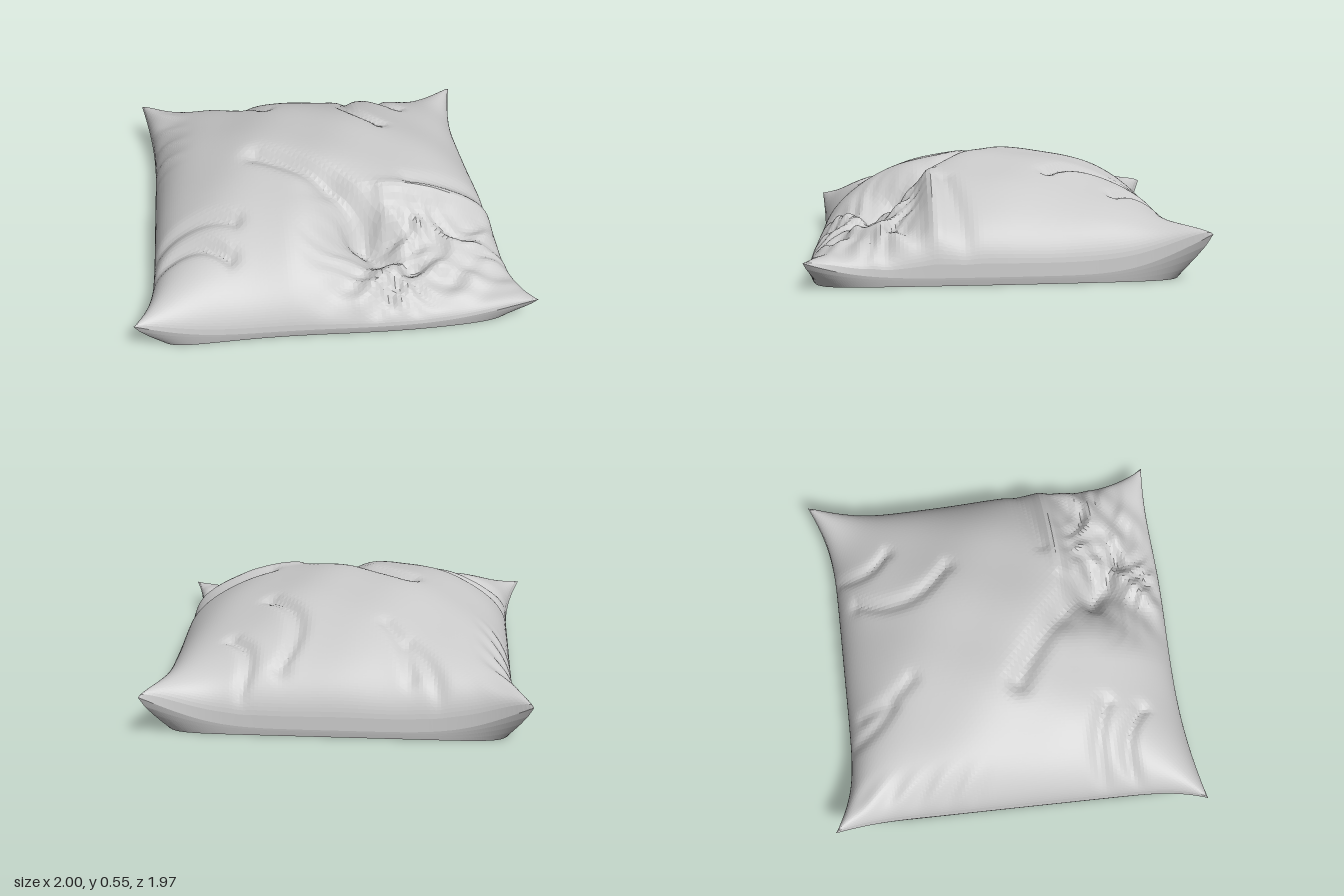
import * as THREE from 'three';

const N = 120; // grid cells per side
const smooth = THREE.MathUtils.smoothstep;
const lerp = THREE.MathUtils.lerp;
const material = new THREE.MeshStandardMaterial({ color: 0xcccccc, flatShading: true });

// Folds: depth (negative = valley), half width, start x,z, end x,z, sideways bend
const folds = [
  [-0.045, 0.06, -0.33, 0.06, 0.2, 0.5, -0.03],
  [-0.06, 0.11, 0.02, 0.38, 0.22, 0.57, 0],
  [-0.022, 0.04, -0.5, -0.85, -0.35, -0.62, 0.02],
  [-0.02, 0.04, -0.36, -0.78, -0.23, -0.5, 0.02],
  [-0.028, 0.045, 0.28, -0.75, 0.38, -0.25, 0.11],
  [-0.028, 0.04, 0.47, -0.85, 0.54, -0.57, 0.06],
  [-0.03, 0.045, -0.92, 0.47, -0.48, 0.5, -0.05],
  [-0.035, 0.045, -0.92, 0.65, -0.52, 0.69, -0.08],
  [0.03, 0.045, 0.3, 0.38, 0.88, 0.34, 0],
  [-0.02, 0.045, 0.45, 0.29, 0.9, 0.2, 0],
  [0.04, 0.055, 0.3, 0.49, 0.62, 0.6, -0.03],
  [-0.045, 0.05, 0.12, 0.55, 0.42, 0.72, 0],
  [0.03, 0.05, 0.12, 0.92, 0.3, 0.78, -0.02],
  [0.035, 0.055, 0.55, 0.72, 0.88, 0.48, 0.03],
];

function foldHeight(x, z) {
  let sum = 0;
  for (const [depth, width, x0, z0, x1, z1, bend] of folds) {
    const dx = x1 - x0, dz = z1 - z0, length = Math.hypot(dx, dz);
    const along = ((x - x0) * dx + (z - z0) * dz) / length;
    const t = THREE.MathUtils.clamp(along / length, 0, 1);
    const aside = ((z - z0) * dx - (x - x0) * dz) / length - bend * 4 * t * (1 - t);
    const beyond = along - t * length;
    sum += depth * Math.exp(-(aside * aside + beyond * beyond) / (width * width));
  }
  return sum;
}

// Plan position of a cloth point; spike pulls the four corners outwards
function plan(u, v, spike) {
  const c = spike * Math.abs(u * v) ** 7;
  const front = (v + 1) / 2;
  const halfWidth = lerp(0.875, 0.915, front) + 0.018 * (1 - v * v) * (u > 0 ? 1 : -0.2);
  const x = u * (halfWidth + c * lerp(0.07, 0.085, front));
  const z = v < 0 ? v * (0.88 + c * 0.105) : v * (0.955 + c * 0.022 + 0.012 * Math.sin(u * 4) * v);
  return [x, z];
}

// Upper cloth: seam height plus puffed dome, sunken front corner and folds
function topPoint(u, v) {
  const [x, z] = plan(u, v, 1);
  const corner = Math.abs(u * v);
  const tip = v < 0 ? 0.2 : u < 0 ? 0.14 : 0.1;
  const seam = 0.04 + tip * corner ** 5;
  // the front slopes more gently than the other sides, and the corners stay full
  const across = (1 - u * u) ** 0.42;
  const along = (1 - v * v) ** lerp(0.42, 0.58, smooth(v, -0.2, 0.4));
  const dome = across * along;
  const line = 0.37 + 0.1 * smooth(-x, -0.3, 0.2);
  const sink = smooth(z, line - 0.05, line + 0.2) * smooth(x, -0.25, 0.22);
  const rim = smooth(dome, 0, 0.45);
  const warp = 0.08 * Math.sin(9 * x + 4 * z) + 0.06 * Math.sin(13 * z - 6 * x);
  const crumple = sink * rim * 0.016 *
    (Math.sin(24 * (x + warp)) * Math.cos(27 * (z - warp)) + 0.6 * Math.sin(33 * (z + x * 0.3 + warp)));
  // small tucks run inwards from the left edge, and the cloth ripples softly all over
  const tucks = 0.012 * Math.sin(38 * (z - 0.8 * x)) * smooth(-x, 0.65, 0.85) * smooth(-z, 0.1, 0.3);
  const ripple = 0.004 * (Math.sin(13 * x + 5 * z) + Math.sin(11 * z - 7 * x));
  const puff = 0.508 * dome * (1 - 0.04 * u) * (1 + 0.75 * corner ** 3) * (1 - 0.4 * sink);
  const y = seam + puff + crumple + rim * (foldHeight(x, z) + tucks + ripple);
  return [x, Math.max(y, 0.03), z];
}

// Grid lines gather towards the edges, where the cloth curves most
const gridValue = (i) => {
  const s = (2 * i) / N - 1;
  return lerp(s, Math.sin((s * Math.PI) / 2), 0.75);
};

function meshFrom(name, positions, index) {
  const geometry = new THREE.BufferGeometry();
  geometry.setAttribute('position', new THREE.Float32BufferAttribute(positions, 3));
  geometry.setIndex(index);
  geometry.computeVertexNormals();
  const mesh = new THREE.Mesh(geometry, material);
  mesh.name = name;
  return mesh;
}

function makeTop() {
  const positions = [], index = [];
  for (let i = 0; i <= N; i++) {
    for (let j = 0; j <= N; j++) {
      positions.push(...topPoint(gridValue(i), gridValue(j)));
      if (i === N || j === N) continue;
      const a = i * (N + 1) + j, b = a + 1, c = a + N + 1, d = c + 1;
      if ((i + j) % 2) index.push(a, b, c, b, d, c);
      else index.push(a, b, d, a, d, c);
    }
  }
  return meshFrom('upperCloth', positions, index);
}

// Underside: the seam is tucked down to a flat base with rounded corners
function makeUnderside() {
  const loop = [];
  for (let i = 0; i < N; i++) loop.push([gridValue(i), -1]);
  for (let i = 0; i < N; i++) loop.push([1, gridValue(i)]);
  for (let i = N; i > 0; i--) loop.push([gridValue(i), 1]);
  for (let i = N; i > 0; i--) loop.push([-1, gridValue(i)]);
  const rings = 5, count = loop.length, positions = [], index = [];
  for (let r = 0; r < rings; r++) {
    const t = r / (rings - 1);
    for (const [u, v] of loop) {
      const [sx, sy, sz] = topPoint(u, v);
      const [px, pz] = plan(u, v, 0);
      const inset = 0.992 - 0.05 * Math.abs(u * v) ** 10;
      const pull = t ** 1.2;
      positions.push(lerp(sx, px * inset, pull), sy * (1 - t), lerp(sz, pz * inset, pull));
    }
  }
  const centre = positions.length / 3;
  positions.push(0, 0, 0);
  for (let k = 0; k < count; k++) {
    const n = (k + 1) % count;
    for (let r = 0; r < rings - 1; r++) {
      const a = r * count + k, b = r * count + n;
      index.push(a, b, a + count, b, b + count, a + count);
    }
    index.push(centre, (rings - 1) * count + k, (rings - 1) * count + n);
  }
  return meshFrom('underside', positions, index);
}

export function createModel() {
  const pillow = new THREE.Group();
  pillow.name = 'pillow';
  pillow.add(makeTop(), makeUnderside());
  return pillow;
}
